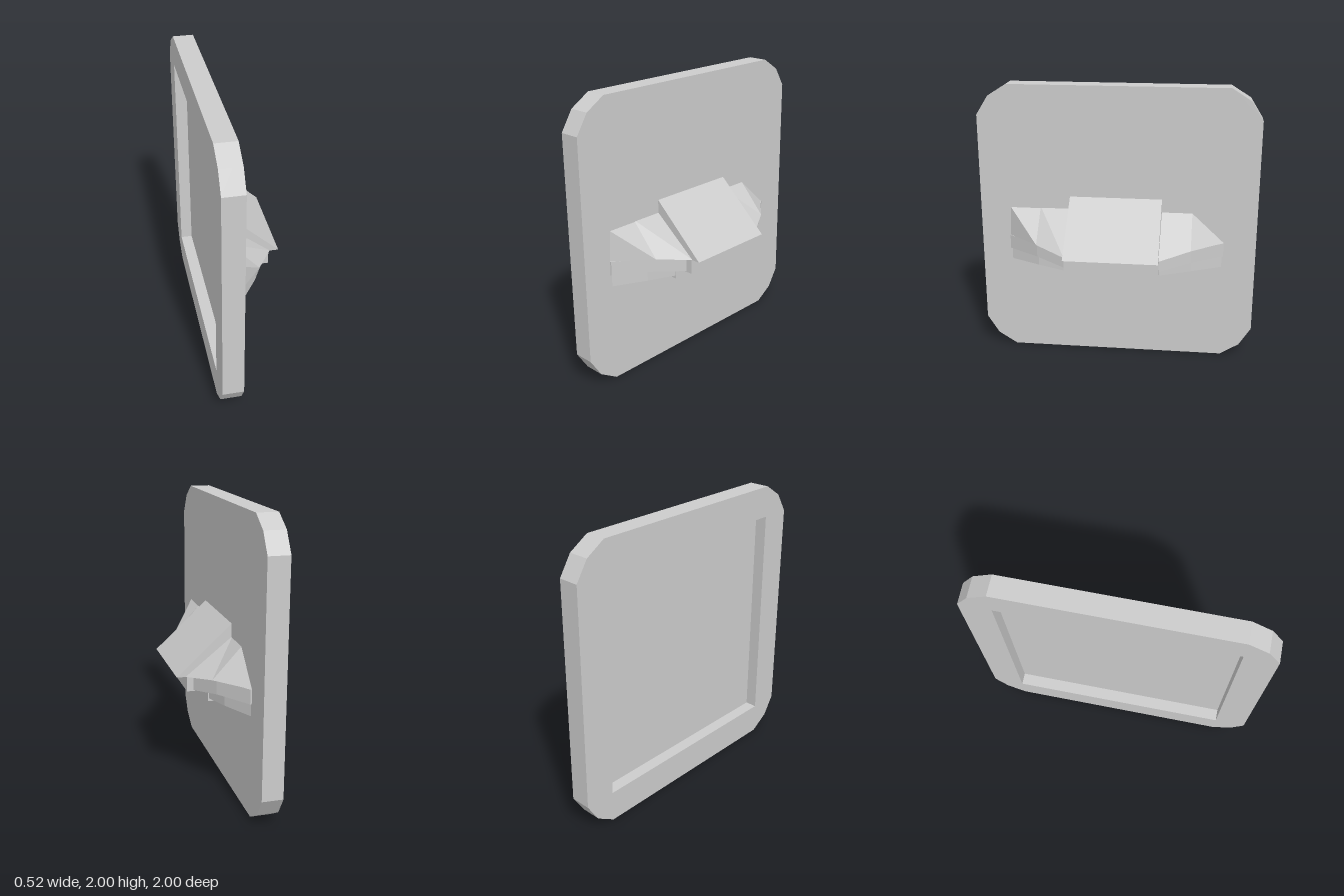
import * as THREE from 'three';

const material = new THREE.MeshStandardMaterial({ color: 0xcccccc, flatShading: true, side: THREE.DoubleSide });
const BACK = -0.265, WALL = -0.12, ROOT = -0.13, MID_Z = 0.01;

function addMesh(parent, name, geometry) {
  const mesh = new THREE.Mesh(geometry, material);
  mesh.name = name;
  parent.add(mesh);
  return mesh;
}

// Solid through counter-clockwise xy sections, ordered by rising z
function loft(sections) {
  const pos = [], n = sections[0].pts.length;
  const put = (s, i) => pos.push(s.pts[i % n][0], s.pts[i % n][1], s.z);
  for (let k = 0; k < sections.length - 1; k++) {
    const s = sections[k], t = sections[k + 1];
    for (let i = 0; i < n; i++) {
      put(s, i); put(s, i + 1); put(t, i + 1);
      put(s, i); put(t, i + 1); put(t, i);
    }
  }
  const first = sections[0], last = sections[sections.length - 1];
  for (let i = 1; i < n - 1; i++) {
    put(first, 0); put(first, i + 1); put(first, i);
    put(last, 0); put(last, i); put(last, i + 1);
  }
  const geometry = new THREE.BufferGeometry();
  geometry.setAttribute('position', new THREE.Float32BufferAttribute(pos, 3));
  geometry.computeVertexNormals();
  return geometry;
}

// Mirror half stations (distance from the middle, section) into a full loft
function symmetricLoft(half) {
  const low = half.map(([d, pts]) => ({ z: MID_Z - d, pts }));
  const high = half.map(([d, pts]) => ({ z: MID_Z + d, pts })).reverse();
  return loft([...low, ...high]);
}

// Plate slice extruded along +x from x0
function plateSlice(shape, x0, x1) {
  const geometry = new THREE.ExtrudeGeometry(shape, { depth: x1 - x0, bevelEnabled: false });
  return geometry.rotateY(Math.PI / 2).translate(x0, 0, 0);
}

function plateOutline() {
  const corner = [[1, 0.78], [0.915, 0.915], [0.78, 1]];
  const back = [...corner].reverse();
  const points = [
    ...corner,
    ...back.map(([a, b]) => [-a, b]),
    ...corner.map(([a, b]) => [-a, -b]),
    ...back.map(([a, b]) => [a, -b]),
  ];
  return new THREE.Shape(points.map(([a, b]) => new THREE.Vector2(a, b + 1)));
}

export function createModel() {
  const group = new THREE.Group();
  group.name = 'wallPlateWithLedge';

  // Plate with a square recess in its back
  const plate = new THREE.Group();
  plate.name = 'plate';
  group.add(plate);
  const rim = plateOutline();
  const r = 0.78;
  rim.holes.push(new THREE.Path([[-r, -r], [-r, r], [r, r], [r, -r]].map(([a, b]) => new THREE.Vector2(a, b + 1))));
  addMesh(plate, 'backRim', plateSlice(rim, BACK, -0.18));
  addMesh(plate, 'frontPanel', plateSlice(plateOutline(), -0.18, WALL));

  const ledge = new THREE.Group();
  ledge.name = 'ledge';
  group.add(ledge);

  // Sloping winged roof
  const roof = (x, y) => [[ROOT, y], [x, y], [ROOT, 1.115]];
  addMesh(ledge, 'wingedRoof', symmetricLoft([
    [0.78, roof(WALL, 0.89)], [0.55, roof(0.075, 0.89)], [0.33, roof(0.2, 0.85)],
  ]));

  // Two winged steps below the roof
  const step = (x, bottom, top) => [[ROOT, bottom], [x, bottom], [x, top], [ROOT, top]];
  addMesh(ledge, 'upperStep', symmetricLoft([
    [0.78, step(-0.11, 0.79, 0.89)], [0.55, step(0.045, 0.79, 0.89)], [0.33, step(0.145, 0.75, 0.85)],
  ]));
  addMesh(ledge, 'lowerStep', symmetricLoft([
    [0.77, step(WALL, 0.705, 0.79)], [0.55, step(-0.01, 0.705, 0.79)], [0.33, step(0.035, 0.68, 0.75)],
  ]));

  // Raised central block: wedge and two bars
  const central = {
    centralWedge: [[ROOT, 0.85], [0.26, 0.85], [WALL, 1.2], [ROOT, 1.2]],
    centralUpperBar: [[0.12, 0.745], [0.19, 0.745], [0.19, 0.85], [0.12, 0.85]],
    centralLowerBar: [[-0.04, 0.66], [0.042, 0.66], [0.042, 0.75], [-0.04, 0.75]],
  };
  for (const [name, pts] of Object.entries(central)) {
    addMesh(ledge, name, symmetricLoft([[0.332, pts]]));
  }
  return group;
}
